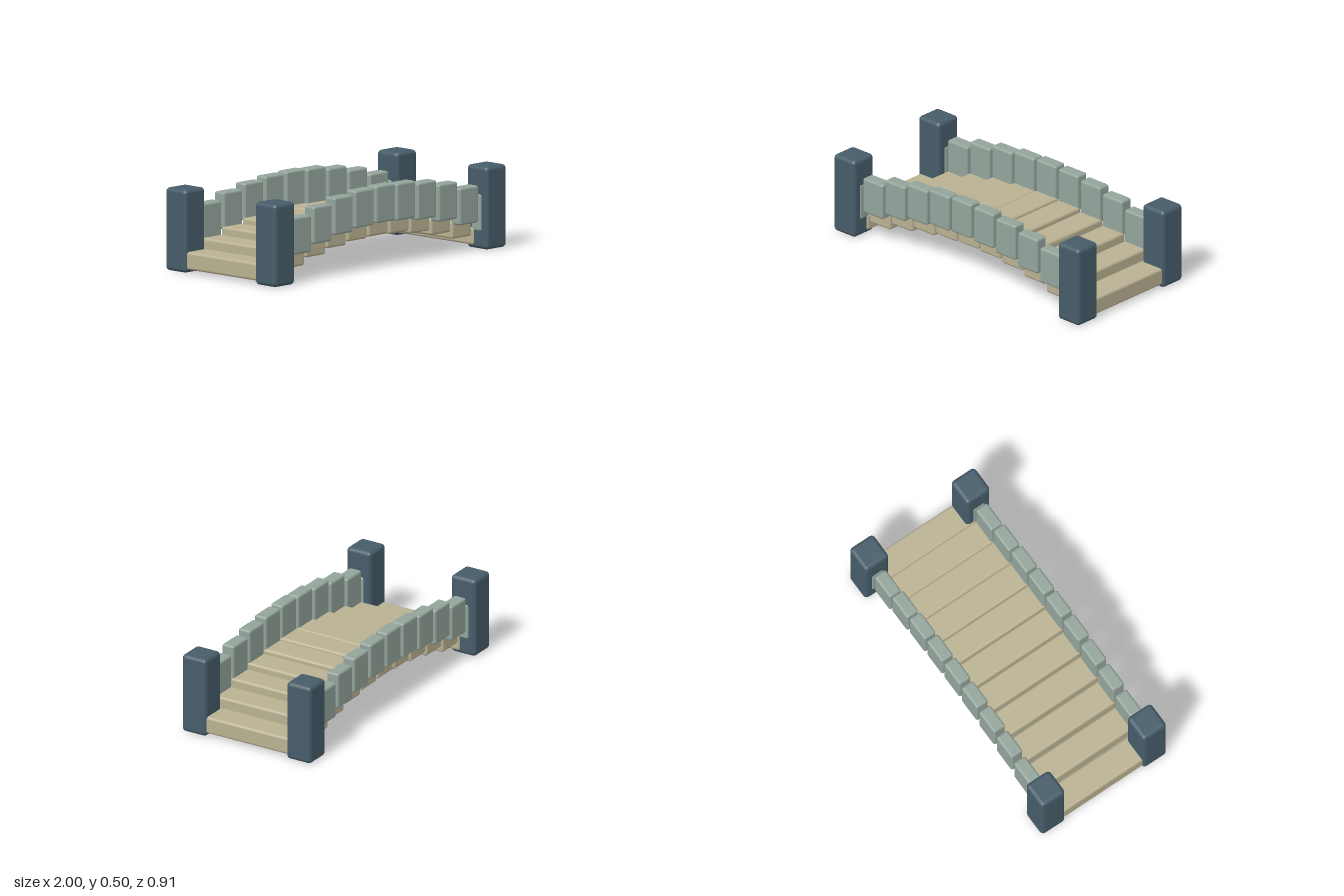
import * as THREE from 'three';
import { RoundedBoxGeometry } from 'three/addons/geometries/RoundedBoxGeometry.js';

function material(name, color) {
  const m = new THREE.MeshStandardMaterial({ color });
  m.name = name;
  return m;
}

export function createModel() {
  const bridge = new THREE.Group();
  bridge.name = 'archedBridge';

  const postMat = material('slateBlue', 0x465c69);
  const curbMat = material('sageGrey', 0x93a49b);
  const plankMat = material('sandTan', 0xb9b192);

  const postGeo = new RoundedBoxGeometry(0.175, 0.5, 0.173, 3, 0.025);
  const curbGeo = new RoundedBoxGeometry(0.162, 0.225, 0.083, 3, 0.014);
  const plankGeo = new RoundedBoxGeometry(0.172, 0.107, 0.7, 3, 0.016);

  function add(name, geo, mat, x, y, z) {
    const mesh = new THREE.Mesh(geo, mat);
    mesh.name = name;
    mesh.position.set(x, y, z);
    bridge.add(mesh);
  }

  // Deck planks and side curbs follow a shallow parabolic arch
  for (let i = -5; i <= 5; i++) {
    const x = i * 0.18;
    const base = 0.02 + 0.16 * (1 - (i / 5) ** 2);
    add('plank', plankGeo, plankMat, x, base + 0.0535, 0);
    for (const side of [-1, 1]) {
      add('curb', curbGeo, curbMat, x, base + 0.2, side * 0.3685);
    }
  }

  // Corner posts
  for (const sx of [-1, 1]) {
    for (const sz of [-1, 1]) {
      add('post', postGeo, postMat, sx * 0.9125, 0.25, sz * 0.3685);
    }
  }
  return bridge;
}
